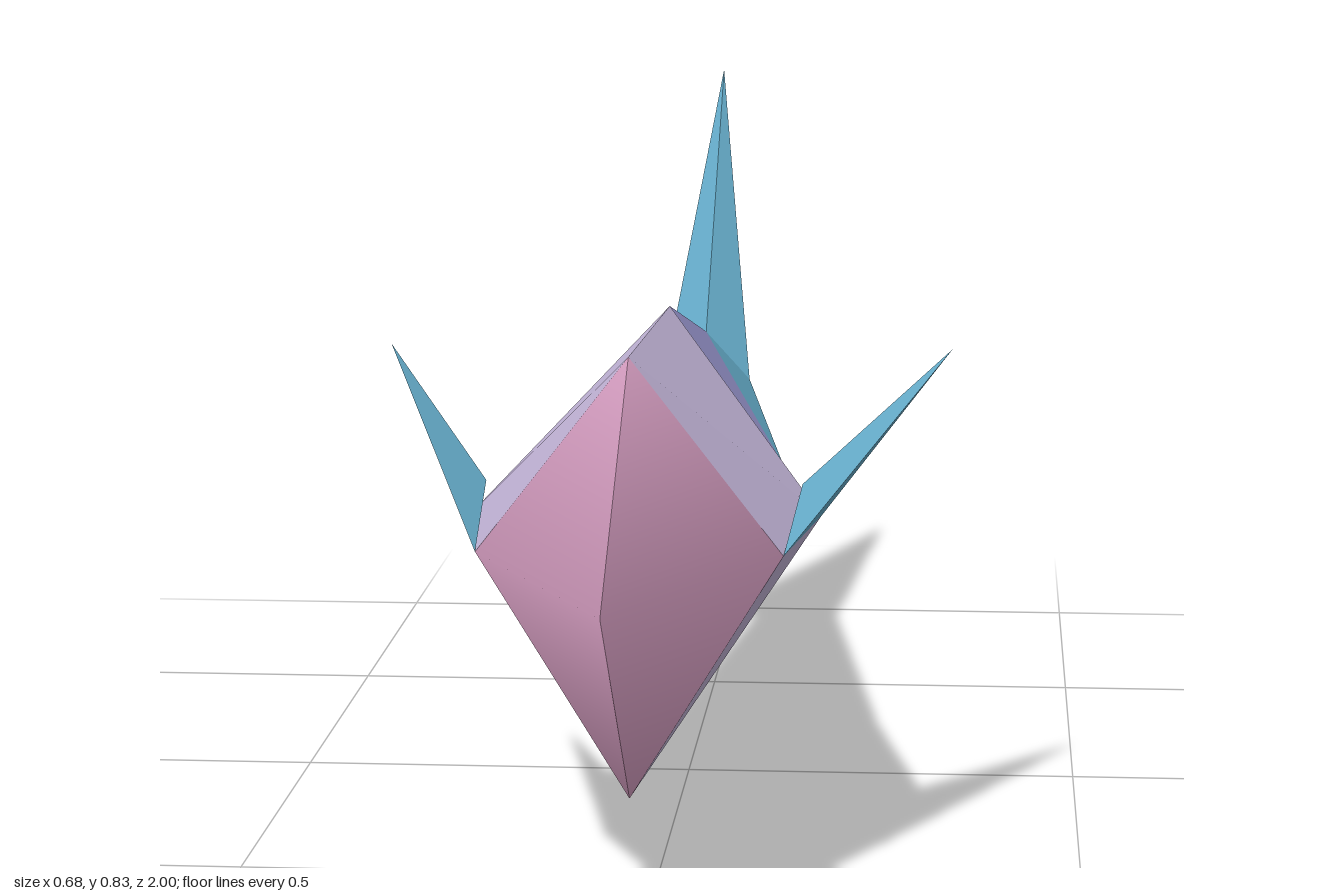
import * as THREE from 'three';
import { ConvexGeometry } from 'three/addons/geometries/ConvexGeometry.js';

const mat = (name, color) => {
  const m = new THREE.MeshStandardMaterial({ color });
  m.name = name;
  return m;
};

const AXIS_X = -0.02, AXIS_Y = 0.42;
const v = (x, y, z) => new THREE.Vector3(x, y, z);

// Triangles turned to face away from the body's long axis
function facets(triangles) {
  const pts = [];
  for (const [a, b, c] of triangles) {
    const n = b.clone().sub(a).cross(c.clone().sub(a));
    const out = a.clone().add(b).add(c).divideScalar(3).sub(v(AXIS_X, AXIS_Y, 0)).setZ(0);
    pts.push(...(n.dot(out) < 0 ? [a, c, b] : [a, b, c]));
  }
  const g = new THREE.BufferGeometry().setFromPoints(pts);
  g.computeVertexNormals();
  return g;
}

// Averages the normals of corners that share a position
function smooth(g) {
  const p = g.attributes.position, n = g.attributes.normal, sums = {};
  const key = (i) => [p.getX(i), p.getY(i), p.getZ(i)].join();
  for (let i = 0; i < p.count; i++) {
    (sums[key(i)] ??= v(0, 0, 0)).add(v(n.getX(i), n.getY(i), n.getZ(i)));
  }
  for (let i = 0; i < p.count; i++) {
    const s = sums[key(i)].clone().normalize();
    n.setXYZ(i, s.x, s.y, s.z);
  }
  return g;
}

export function createModel() {
  const pink = mat('pink', 0xd9a0c4);
  const lilac = mat('lilac', 0xc6b8dc);
  const purple = mat('purple', 0x9f9cd6);
  const teal = mat('teal', 0x66adcb);

  const model = new THREE.Group();
  model.name = 'fish';
  const add = (name, geometry, material) => {
    const mesh = new THREE.Mesh(geometry, material);
    mesh.name = name;
    model.add(mesh);
  };

  // Points along the back and belly ridges
  const nose = v(AXIS_X, AXIS_Y, 1);
  const headTop = v(AXIS_X, 0.645, 0.655), headBottom = v(AXIS_X, 0.135, 0.655);
  const midTop = v(AXIS_X, 0.62, 0.06), midBottom = v(AXIS_X, 0.145, 0.09);
  const tailTop = v(AXIS_X, 0.49, -0.61), tailBottom = v(AXIS_X, 0.36, -0.62);
  const tailSides = [];

  for (const [side, s] of [['left', 1], ['right', -1]]) {
    const at = (half, y, z) => v(AXIS_X + s * half, y, z);
    const head = at(0.175, AXIS_Y, 0.655);
    const bulge = at(0.208, AXIS_Y, 0.41);
    const mid = at(0.145, AXIS_Y, 0.07);
    const tail = at(0.062, AXIS_Y, -0.62);
    tailSides.push(tail);

    // Snout, softly shaded across each cheek
    add(side + 'Snout', smooth(facets([[nose, head, headTop], [nose, head, headBottom]])), pink);

    // Front of the body
    const shell = [];
    for (const [h, m] of [[headTop, midTop], [headBottom, midBottom]]) {
      shell.push([h, head, bulge], [h, bulge, m], [bulge, mid, m]);
    }
    add(side + 'FrontBody', facets(shell), lilac);

    // Tapering rear with a wedge running into the tail
    add(side + 'RearBody', facets([[mid, midTop, tailTop], [mid, midBottom, tailBottom]]), purple);
    add(side + 'TailWedge', facets([[mid, tailTop, tail], [mid, tailBottom, tail]]), teal);

    // Side fin
    const tip = v(s * 0.34, 0.605, 0.303);
    add(side + 'Fin', new ConvexGeometry([head, at(0.187, 0.465, 0.45), bulge, tip]), teal);
  }

  // Tail fin
  add('tailFin', new ConvexGeometry([
    tailTop, tailBottom, ...tailSides, v(AXIS_X, 0.835, -1), v(AXIS_X, 0, -1),
  ]), teal);

  // Belly fin
  add('bellyFin', new ConvexGeometry([
    midBottom, v(0.04, 0.245, -0.2), v(-0.07, 0.245, -0.2),
    v(AXIS_X, 0.24, -0.28), v(-0.012, 0.08, -0.38),
  ]), teal);

  return model;
}
